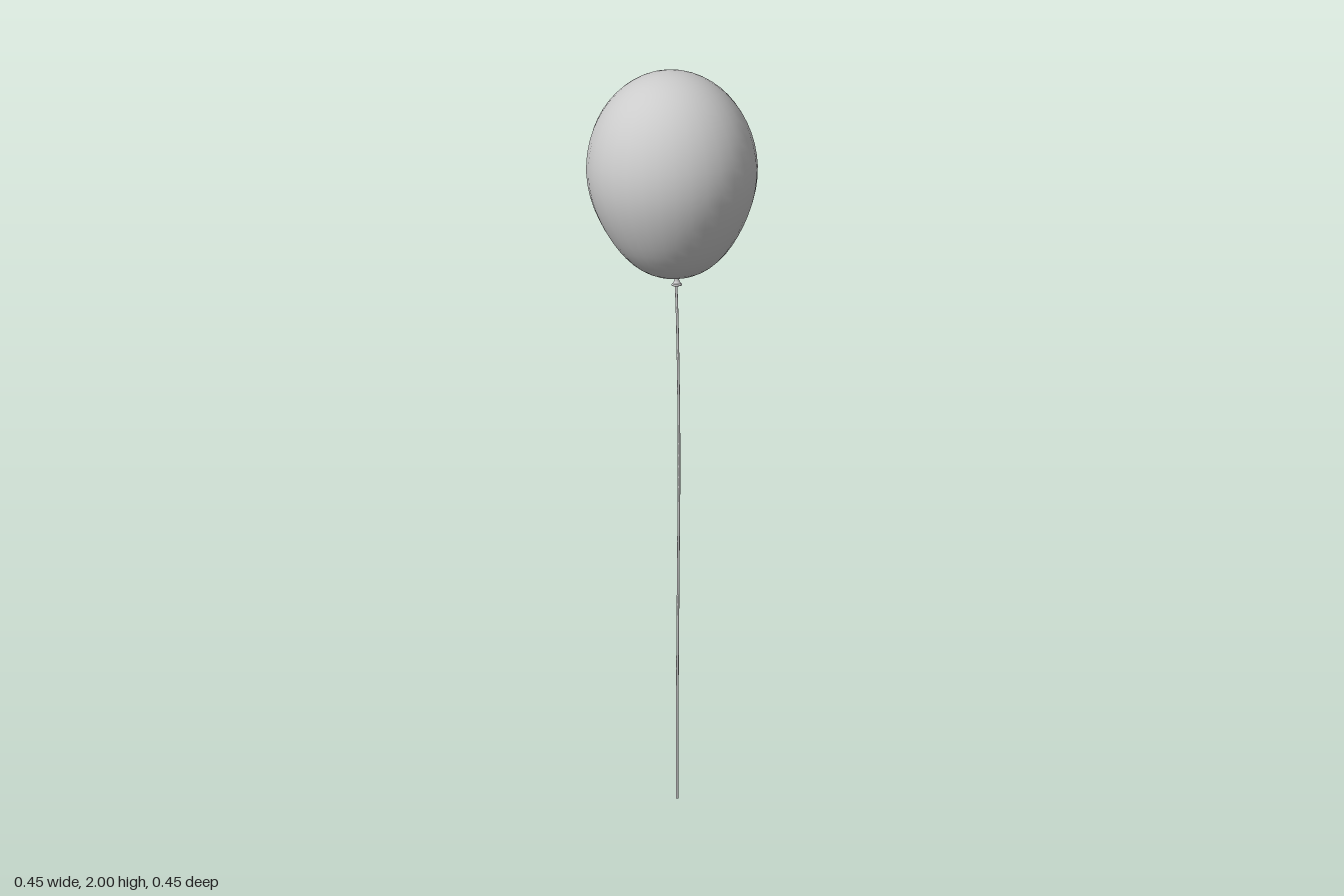
import * as THREE from 'three';

export function createModel() {
  const model = new THREE.Group();
  const material = new THREE.MeshStandardMaterial({ color: 0xcccccc, side: THREE.DoubleSide });
  const add = (parent, name, geometry) => {
    const mesh = new THREE.Mesh(geometry, material);
    mesh.name = name;
    parent.add(mesh);
    return mesh;
  };

  // Tilted balloon, with its widest point at the group origin
  const balloon = new THREE.Group();
  balloon.name = 'balloon';
  balloon.position.set(0, 1.74, 0);
  balloon.rotation.x = -0.18;
  model.add(balloon);

  // Egg-shaped skin: shorter dome above, longer and slightly slimmer below
  const profile = [];
  const steps = 28;
  for (let i = 0; i <= steps; i++) {
    const a = -Math.PI / 2 + (Math.PI * i) / steps;
    const s = Math.sin(a);
    const slim = s < 0 ? 1 - 0.05 * Math.sin(2 * a) ** 2 : 1;
    profile.push(new THREE.Vector2(Math.max(0, 0.223 * Math.cos(a) * slim), s * (s < 0 ? 0.288 : 0.261)));
  }
  add(balloon, 'skin', new THREE.LatheGeometry(profile, 32));

  // Pinched neck flaring out to a rolled lip
  const neck = [[0.009, -0.284], [0.006, -0.292], [0.008, -0.299], [0.013, -0.306]];
  add(balloon, 'neck', new THREE.LatheGeometry(neck.map(([r, y]) => new THREE.Vector2(r, y)), 16));
  const lip = add(balloon, 'lip', new THREE.TorusGeometry(0.011, 0.003, 8, 16));
  lip.rotation.x = Math.PI / 2;
  lip.position.y = -0.306;

  // Gently swaying string, from the neck down to the ground
  const path = new THREE.CatmullRomCurve3(
    [[1.455, 0.042], [1.38, 0.055], [1.2, 0.071], [0.95, 0.08], [0.7, 0.073], [0.4, 0.063], [0.2, 0.059], [0, 0.058]]
      .map(([y, z]) => new THREE.Vector3(0, y, z)));
  add(model, 'string', new THREE.TubeGeometry(path, 48, 0.0035, 8));

  return model;
}
